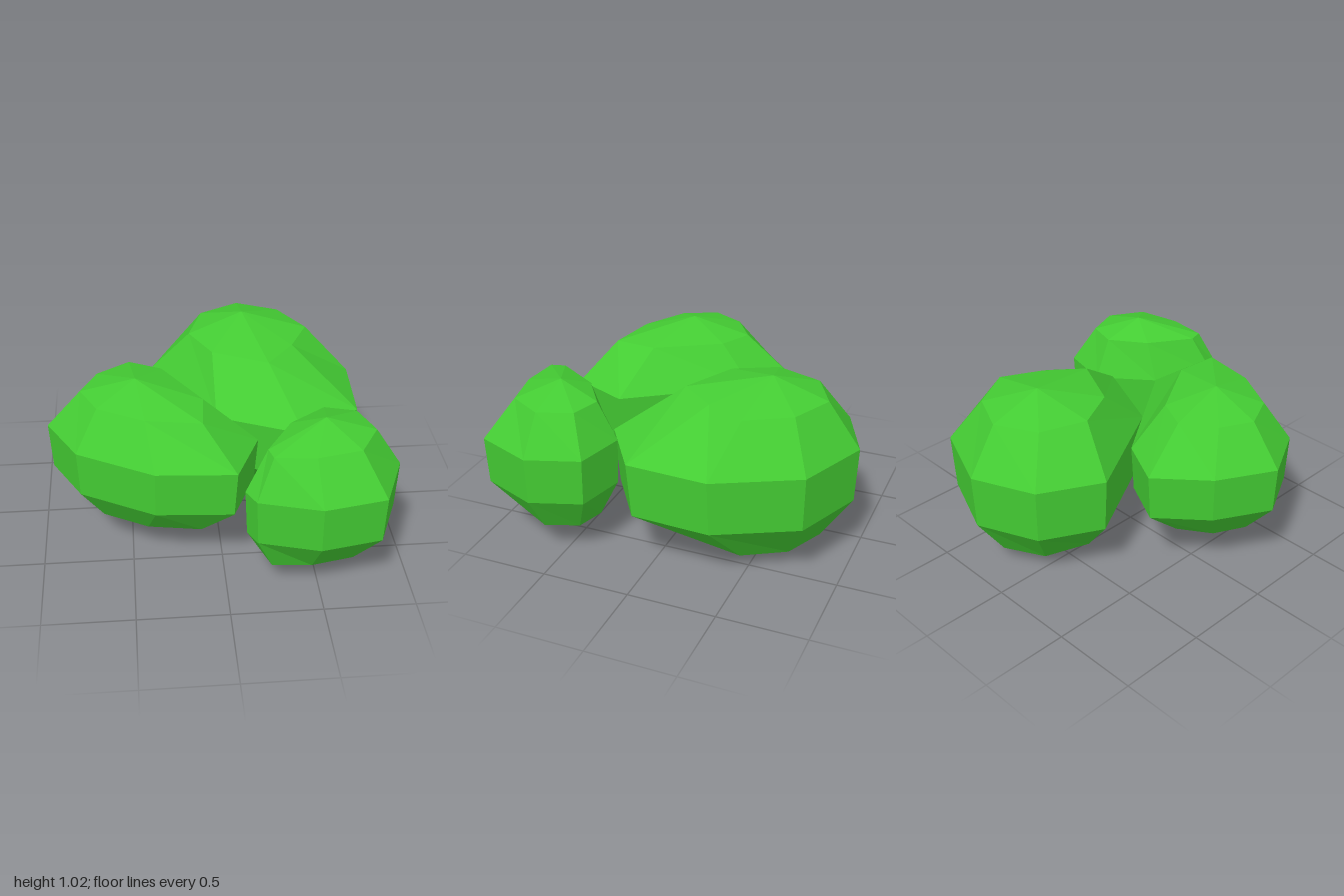
import * as THREE from 'three';

const leaf = new THREE.MeshStandardMaterial({ color: 0x44cc33, flatShading: true });

// Lumpy eight-sided sphere: pole [x, z], centre height, radius,
// and [x, z] outlines of the wide (belly) and narrow (cap) rings.
function blob(name, pole, cy, r, belly, cap) {
  const shrink = ([x, z], k) => [pole[0] + (x - pole[0]) * k, pole[1] + (z - pole[1]) * k];
  const flat = belly.map(() => pole);
  const rings = [flat, cap, belly, belly.map(p => shrink(p, 0.97)), cap.map(p => shrink(p, 0.97)), flat];
  const pos = [];
  rings.forEach((ring, j) => {
    const y = cy + r * Math.cos((j * Math.PI) / 5);
    ring.forEach(([x, z]) => pos.push(x, y, z));
  });
  const n = belly.length, idx = [];
  for (let j = 0; j < 5; j++) {
    for (let i = 0; i < n; i++) {
      const k = (i + 1) % n;
      const a = j * n + i, b = j * n + k, c = a + n, d = b + n;
      if (j < 4) idx.push(b, d, c);
      if (j > 0) idx.push(b, c, a);
    }
  }
  const indexed = new THREE.BufferGeometry();
  indexed.setAttribute('position', new THREE.Float32BufferAttribute(pos, 3));
  indexed.setIndex(idx);
  const geo = indexed.toNonIndexed();
  geo.computeVertexNormals();
  const mesh = new THREE.Mesh(geo, leaf);
  mesh.name = name;
  return mesh;
}

export function createModel() {
  const bush = new THREE.Group();
  bush.name = 'bush';
  bush.add(
    // large clump at the back
    blob('backClump', [0.2, -0.51], 0.51, 0.51,
      [[0.19, -1], [0.6, -0.83], [0.83, -0.38], [0.81, 0.08], [0.47, 0.31], [0, 0.1], [-0.34, -0.51], [-0.16, -0.85]],
      [[0.2, -0.82], [0.44, -0.71], [0.58, -0.47], [0.47, -0.25], [0.31, -0.05], [0, -0.2], [-0.12, -0.44], [-0.03, -0.7]]),
    // middle-sized clump on the right
    blob('rightClump', [-0.45, 0.21], 0.577, 0.432,
      [[-0.51, -0.37], [-0.24, -0.23], [0.2, 0.41], [0.06, 0.73], [-0.37, 0.7], [-0.78, 0.47], [-0.94, 0.17], [-0.77, -0.14]],
      [[-0.48, -0.12], [-0.3, -0.03], [-0.09, 0.32], [-0.11, 0.56], [-0.41, 0.51], [-0.66, 0.37], [-0.75, 0.18], [-0.66, 0]]),
    // small clump at the front left
    blob('leftClump', [0.53, 0.59], 0.518, 0.433,
      [[0.55, 0.25], [0.84, 0.32], [0.94, 0.61], [0.81, 0.93], [0.47, 0.995], [0.14, 0.9], [0.09, 0.8], [0.27, 0.48]],
      [[0.56, 0.36], [0.73, 0.41], [0.8, 0.6], [0.69, 0.79], [0.45, 0.84], [0.23, 0.82], [0.21, 0.74], [0.36, 0.5]]),
  );
  return bush;
}
